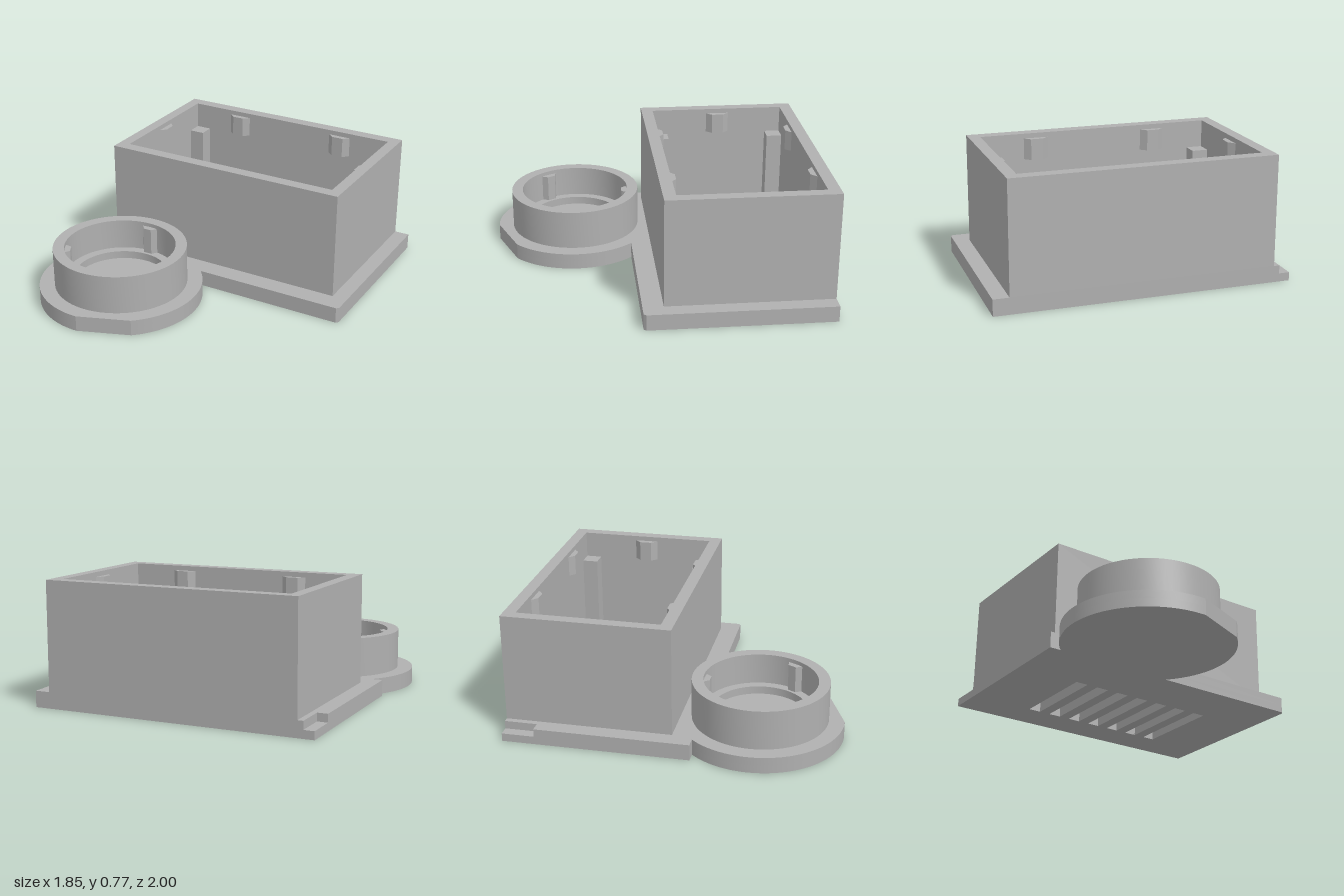
import * as THREE from 'three';
import { toCreasedNormals } from 'three/addons/utils/BufferGeometryUtils.js';

const grey = new THREE.MeshStandardMaterial({ color: 0xb0b0b0 });
grey.name = 'plain grey';

// plan coordinates are [x, z]; shapes are drawn with y = -z and extruded upward
const toShape = (pts, Type = THREE.Shape) => new Type(pts.map(([x, z]) => new THREE.Vector2(x, -z)));
const rect = (x0, x1, z0, z1) => [[x0, z0], [x0, z1], [x1, z1], [x1, z0]];
const arc = (cx, cz, r, a0, a1, n) => Array.from({ length: n + 1 }, (_, i) => {
  const a = a0 + (a1 - a0) * i / n;
  return [cx + r * Math.cos(a), cz + r * Math.sin(a)];
});

function slab(name, outline, y0, y1, holes = []) {
  const shape = toShape(outline);
  shape.holes = holes.map(h => toShape(h, THREE.Path));
  const geo = new THREE.ExtrudeGeometry(shape, { depth: y1 - y0, bevelEnabled: false });
  geo.rotateX(-Math.PI / 2).translate(0, y0, 0);
  const mesh = new THREE.Mesh(toCreasedNormals(geo, 0.35), grey);
  mesh.name = name;
  return mesh;
}

export function createModel() {
  const model = new THREE.Group();
  model.name = 'housing';
  const CX = -0.415, CZ = 0.49, R = 0.51;

  // base plate: rectangle joined to a disc that has one flat on its rim
  const join = Math.asin((0.145 - CZ) / R);
  const disc = [
    ...arc(CX, CZ, R, join, 0.87, 40),
    ...arc(CX, CZ, R, 1.54, Math.PI - join, 60),
  ];
  const edge = [[0.92, -1], [0.92, 0.13], [0.905, 0.145], ...disc, [-0.86, 0.145]];
  const lower = [...edge, [-0.86, -1]];
  const upper = [...edge, [-0.86, -0.8], [-0.795, -0.8], [-0.795, -1]];

  // vent slots
  const slots = [];
  for (let i = 0; i < 7; i++) {
    const x = -0.46 + i * 0.151;
    slots.push(rect(x, x + 0.08, -0.775, -0.205));
  }
  model.add(slab('basePlateLower', lower, 0, 0.05, slots));
  model.add(slab('basePlateUpper', upper, 0.05, 0.1, [...slots, arc(CX, CZ, 0.245, 0, Math.PI * 2, 64).slice(0, -1)]));

  // open box walls
  const X0 = -0.69, X1 = 0.755, Z0 = -0.925, Z1 = -0.055;
  model.add(slab('boxWalls', rect(-0.76, 0.825, -1, 0.02), 0.1, 0.77, [rect(X0, X1, Z0, Z1)]));

  // corner posts
  const post = 0.1;
  for (const x of [X0, X1 - post])
    for (const z of [Z0, Z1 - post])
      model.add(slab('cornerPost', rect(x, x + post, z, z + post), 0.1, 0.6));

  // snap bumps under the rim; each is a shallow trapezoid turned to face inward
  function bump(name, x, z, turn, y0, y1, half = 0.075, depth = 0.034) {
    const m = slab(name, [[-half, 0], [-half * 0.5, depth], [half * 0.5, depth], [half, 0]], y0, y1);
    m.position.set(x, 0, z);
    m.rotation.y = turn;
    model.add(m);
  }
  for (const x of [-0.345, 0.41]) {
    bump('snapBump', x, Z0, 0, 0.61, 0.74);
    bump('snapBump', x, Z1, Math.PI, 0.61, 0.74);
  }
  bump('snapBump', X0, -0.495, Math.PI / 2, 0.61, 0.74);
  bump('snapBump', X1, -0.495, -Math.PI / 2, 0.61, 0.74);

  // round collar with a stepped inner seat
  const profile = [[0.245, 0.1], [0.415, 0.1], [0.415, 0.345], [0.345, 0.345], [0.345, 0.15], [0.29, 0.15], [0.29, 0.1]];
  const collarGeo = new THREE.LatheGeometry(profile.slice(1).map(p => new THREE.Vector2(...p)), 64);
  const collar = new THREE.Mesh(toCreasedNormals(collarGeo, 0.35), grey);
  collar.name = 'collar';
  collar.position.set(CX, 0, CZ);
  model.add(collar);

  // three retaining tabs inside the collar
  for (let i = 0; i < 3; i++) {
    const a = -Math.PI / 2 + i * Math.PI * 2 / 3;
    bump('retainingTab', CX + 0.345 * Math.cos(a), CZ + 0.345 * Math.sin(a), -a - Math.PI / 2, 0.15, 0.32, 0.055, 0.038);
  }
  return model;
}
